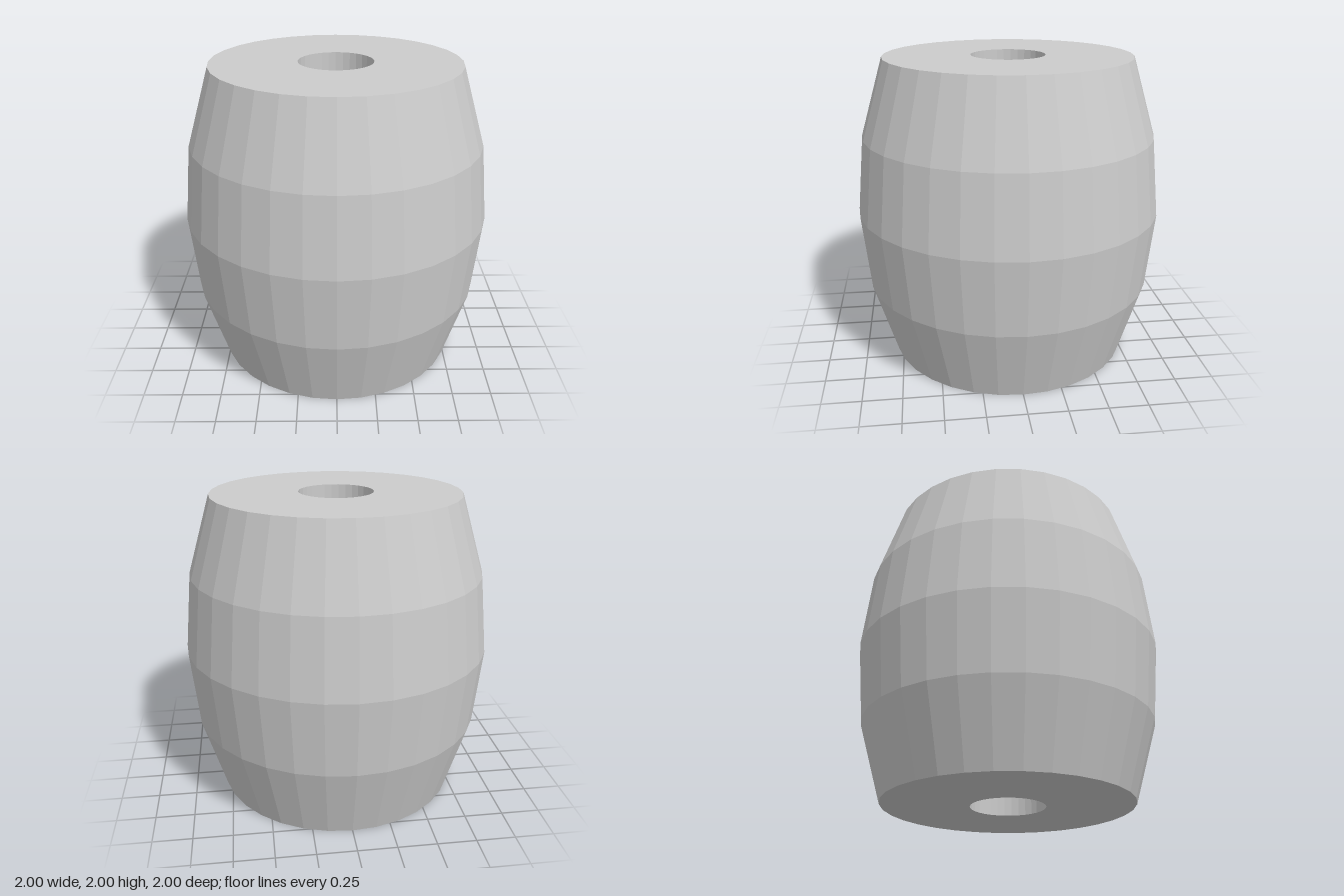
import * as THREE from 'three';

export function createModel() {
  const group = new THREE.Group();
  group.name = 'barrelBead';

  // Closed section: bottom face, bulging wall, top face, straight bore
  const section = [
    [0.24, 0], [0.8, 0], [0.95, 0.5], [1, 1],
    [0.95, 1.5], [0.8, 2], [0.24, 2], [0.24, 0],
  ].map(([r, y]) => new THREE.Vector2(r, y));

  const bead = new THREE.Mesh(
    new THREE.LatheGeometry(section, 32),
    new THREE.MeshStandardMaterial({ color: 0xcccccc, flatShading: true })
  );
  bead.name = 'beadBody';
  group.add(bead);
  return group;
}
